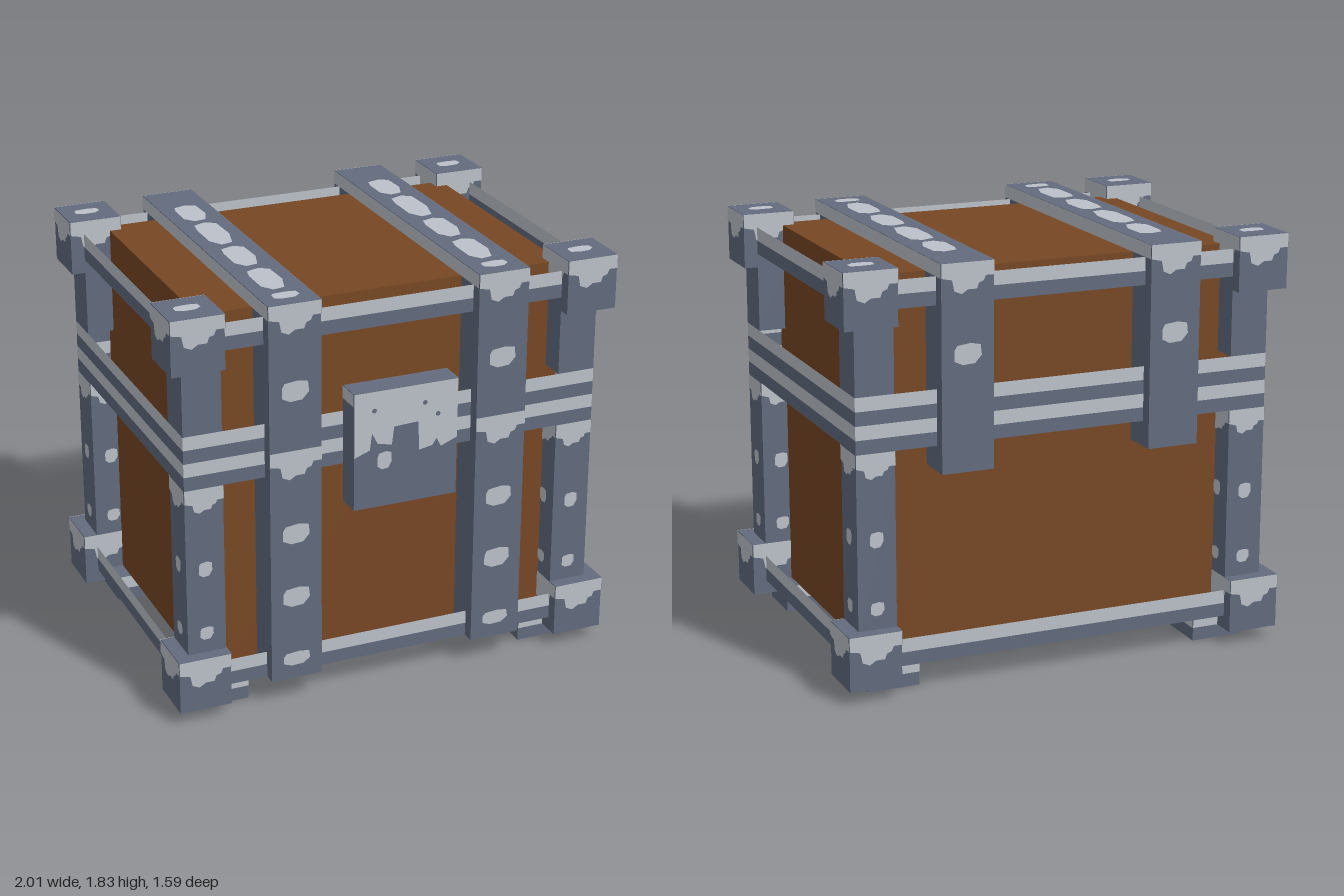
import * as THREE from 'three';

const mat = (name, color, side = THREE.FrontSide) => {
  const m = new THREE.MeshStandardMaterial({ color, side });
  m.name = name;
  return m;
};

export function createModel() {
  const iron = mat('iron grey', 0x626b7e, THREE.DoubleSide);
  const worn = mat('worn light metal', 0xbcc2ca, THREE.DoubleSide);
  const wood = mat('brown wood', 0x774723, THREE.DoubleSide);
  const EPS = 0.003;

  const model = new THREE.Group();
  model.name = 'chest';
  const chest = new THREE.Group();
  chest.name = 'chestBody';
  chest.position.z = -0.03;
  model.add(chest);

  const group = (name, x, y, z, parent = chest) => {
    const g = new THREE.Group();
    g.name = name;
    g.position.set(x, y, z);
    parent.add(g);
    return g;
  };
  const add = (parent, name, geo, material, x = 0, y = 0, z = 0) => {
    const m = new THREE.Mesh(geo, material);
    m.name = name;
    m.position.set(x, y, z);
    parent.add(m);
    return m;
  };
  const box = (parent, name, w, h, d, x = 0, y = 0, z = 0) =>
    add(parent, name, new THREE.BoxGeometry(w, h, d), iron, x, y, z);

  // Box without some faces; order is +x, -x, +y, -y, +z, -z
  const openBox = (w, h, d, missing) => {
    const geo = new THREE.BoxGeometry(w, h, d);
    const index = Array.from(geo.index.array).filter((_, i) => !missing.includes(Math.floor(i / 6)));
    geo.setIndex(index);
    geo.clearGroups();
    return geo;
  };

  const shape = (pts) => new THREE.Shape(pts.map(([x, y]) => new THREE.Vector2(x, y)));
  const flat = (pts) => new THREE.ShapeGeometry(shape(pts));
  const rect = (w, y0, y1) => flat([[-w / 2, y0], [w / 2, y0], [w / 2, y1], [-w / 2, y1]]);

  // Irregular worn spot of a given size
  const spot = (w, h) => flat([
    [-0.5, -0.3], [-0.2, -0.5], [0.25, -0.46], [0.5, -0.1],
    [0.46, 0.4], [0.1, 0.5], [-0.4, 0.42], [-0.5, 0.2],
  ].map(([x, y]) => [x * w, y * h]));

  // Worn top edge with a drip in the middle; top at y = 0
  const drip = (w, edge = 0.06, drop = 0.07) => flat([
    [-0.5, 0], [-0.5, -edge], [-0.3, -edge - 0.01], [-0.26, -edge - drop * 0.8],
    [-0.12, -edge - drop], [0, -edge - drop * 0.75], [0.17, -edge - drop * 0.75],
    [0.21, -edge - drop * 0.4], [0.3, -edge - drop * 0.3], [0.34, -edge], [0.5, -edge], [0.5, 0],
  ].map(([x, y]) => [x * w, y]));

  // Paint all four upright faces of a w x d block
  const paintSides = (parent, name, w, d, y, makeGeo) => {
    for (let i = 0; i < 4; i++) {
      const a = (i * Math.PI) / 2;
      const off = (i % 2 ? w : d) / 2 + EPS;
      add(parent, name, makeGeo(i % 2 ? d : w), worn, Math.sin(a) * off, y, Math.cos(a) * off).rotation.y = a;
    }
  };

  // Wooden body, open underneath
  add(chest, 'woodenBody', openBox(1.64, 1.65, 1.175, [3]), wood, 0, 0.945, 0);

  // Thin metal bands, light on their upper half
  for (const y of [0.12, 1.06, 1.18, 1.65]) {
    const band = group('metalBand', 0, y, 0);
    add(band, 'bandLower', openBox(1.88, 0.06, 1.41, [2, 3]), iron, 0, 0.03, 0);
    add(band, 'bandUpper', openBox(1.88, 0.06, 1.41, [2, 3]), worn, 0, 0.09, 0);
  }

  // Corners: feet, posts and caps
  for (const sx of [-1, 1]) for (const sz of [-1, 1]) {
    const foot = group('foot', sx * 0.765, 0.06, sz * 0.53);
    box(foot, 'footBlock', 0.23, 0.12, 0.23);
    paintSides(foot, 'footWornEdge', 0.23, 0.23, 0, (w) => rect(w, 0, 0.06));

    const post = group('cornerPost', sx * 0.855, 0, sz * 0.6175);
    box(post, 'lowerPost', 0.17, 0.86, 0.175, 0, 0.63, 0);
    box(post, 'upperPost', 0.17, 0.35, 0.175, 0, 1.475, 0);
    paintSides(post, 'postWornTop', 0.17, 0.175, 1.06, (w) => drip(w, 0.06, 0.05));
    for (const y of [0.69, 0.39])
      paintSides(post, 'postSpot', 0.17, 0.175, y, () => spot(0.06, y > 0.5 ? 0.07 : 0.06));

    for (const y of [0.18, 1.71]) {
      const cap = group('cornerCap', sx * 0.885, y, sz * 0.645);
      box(cap, 'capBlock', 0.23, 0.24, 0.23);
      paintSides(cap, 'capWornEdge', 0.23, 0.23, 0.12, (w) => drip(w));
      add(cap, 'capSpot', spot(0.11, 0.065), worn, 0, 0.12 + EPS, 0).rotation.x = -Math.PI / 2;
    }
  }

  // Two straps running up the front, over the lid and part way down the back
  for (const x of [-0.47, 0.47]) {
    const strap = group('strap', x, 0, 0);
    box(strap, 'strapFront', 0.23, 1.64, 0.18, 0, 0.94, 0.67);
    box(strap, 'strapBack', 0.23, 0.81, 0.18, 0, 1.355, -0.67);
    box(strap, 'strapTop', 0.23, 0.07, 1.52, 0, 1.795, 0);

    const front = 0.76 + EPS;
    add(strap, 'strapWornTop', drip(0.23), worn, 0, 1.83, front);
    add(strap, 'strapWornMiddle', drip(0.23), worn, 0, 1.185, front);
    for (const [y, h] of [[1.45, 0.09], [0.805, 0.09], [0.51, 0.09], [0.215, 0.065]])
      add(strap, 'strapSpot', spot(0.12, h), worn, 0, y, front);

    // Same wear shows on the inner face of the front strap
    for (const y of [0.805, 0.51, 0.215])
      add(strap, 'strapInnerSpot', spot(0.12, 0.08), worn, 0, y, 0.58 - EPS).rotation.y = Math.PI;

    add(strap, 'strapBackWornTop', drip(0.23), worn, 0, 1.83, -front).rotation.y = Math.PI;
    add(strap, 'strapBackSpot', spot(0.12, 0.09), worn, 0, 1.45, -front).rotation.y = Math.PI;

    for (const s of [-1, 1])
      add(strap, 'strapWornSide', rect(1.52, 1.77, 1.83), worn, s * (0.115 + EPS), 0, 0).rotation.y = (s * Math.PI) / 2;

    // Long worn patches along the top
    for (const [z0, z1] of [[-0.55, -0.33], [-0.3, 0], [0.035, 0.29], [0.33, 0.59], [0.63, 0.7]])
      add(strap, 'strapTopPatch', spot(0.115, z1 - z0), worn, 0, 1.83 + EPS, (z0 + z1) / 2).rotation.x = -Math.PI / 2;
  }

  // Lock plate
  const lock = group('lockPlate', 0, 0, 0.7625);
  box(lock, 'lockBlock', 0.47, 0.525, 0.115, 0, 1.1525, 0);
  const wear = shape([
    [-0.235, 1.415], [-0.235, 1.13], [-0.165, 1.155], [-0.155, 1.23], [-0.13, 1.18], [-0.065, 1.165],
    [-0.055, 1.245], [0.055, 1.25], [0.06, 1.12], [0.12, 1.13], [0.14, 1.16], [0.16, 1.12],
    [0.235, 1.15], [0.235, 1.415],
  ]);
  for (const [x, y] of [[-0.145, 1.33], [0.085, 1.33], [0.145, 1.27]])
    wear.holes.push(new THREE.Path().absarc(x, y, 0.011, 0, Math.PI * 2, true));
  add(lock, 'lockWornFace', new THREE.ShapeGeometry(wear, 4), worn, 0, 0, 0.0575 + EPS);
  add(lock, 'lockSpot', spot(0.065, 0.08), worn, -0.097, 1.1, 0.0575 + EPS);
  for (const s of [-1, 1])
    add(lock, 'lockWornSide', rect(0.115, 1.36, 1.415), worn, s * (0.235 + EPS), 0, 0).rotation.y = (s * Math.PI) / 2;

  return model;
}
